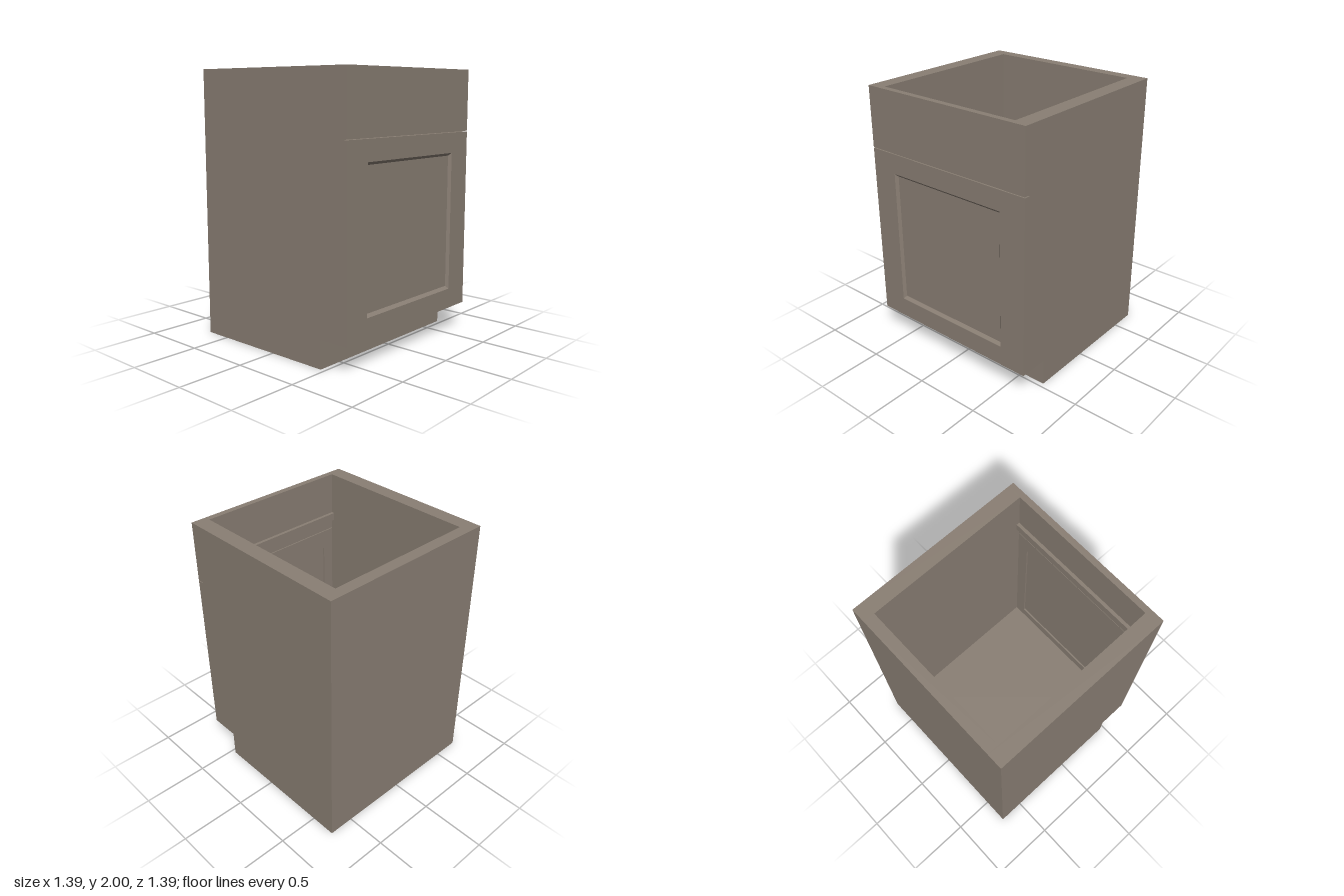
import * as THREE from 'three';

const W = 0.695;          // half width and half depth
const INNER = 0.58;       // half width of the cavity
const FRONT = 0.65;       // where the carcass ends and the fronts begin
const KICK_Y = 0.205, KICK_Z = 0.465;
const GAP = [1.54, 1.546]; // slit between door and drawer front

const material = new THREE.MeshStandardMaterial({ color: 0x8a7f74, flatShading: true, side: THREE.DoubleSide });

function add(group, name, geometry) {
  const mesh = new THREE.Mesh(geometry, material);
  mesh.name = name;
  group.add(mesh);
}

// Box given by its limits on each axis
function box(x0, x1, y0, y1, z0, z1) {
  return new THREE.BoxGeometry(x1 - x0, y1 - y0, z1 - z0)
    .translate((x0 + x1) / 2, (y0 + y1) / 2, (z0 + z1) / 2);
}

// Side profile (z, y) extruded along x
function profile(points, x0, x1) {
  const shape = new THREE.Shape(points.map(([z, y]) => new THREE.Vector2(z, y)));
  return new THREE.ExtrudeGeometry(shape, { depth: x1 - x0, bevelEnabled: false })
    .rotateY(-Math.PI / 2).translate(x1, 0, 0);
}

function rectangle(Type, x, y0, y1) {
  return new Type([[-x, y0], [x, y0], [x, y1], [-x, y1]].map(([a, b]) => new THREE.Vector2(a, b)));
}

// Sloped moulding between an outer and a deeper inner rectangle
function moulding(outer, inner) {
  const ring = ({ x, y0, y1, z }) => [[-x, y0, z], [x, y0, z], [x, y1, z], [-x, y1, z]];
  const a = ring(outer), b = ring(inner), position = [];
  for (let i = 0; i < 4; i++) {
    const j = (i + 1) % 4;
    position.push(...a[i], ...a[j], ...b[j], ...a[i], ...b[j], ...b[i]);
  }
  const geometry = new THREE.BufferGeometry();
  geometry.setAttribute('position', new THREE.Float32BufferAttribute(position, 3));
  geometry.computeVertexNormals();
  return geometry;
}

export function createModel() {
  const cabinet = new THREE.Group();
  cabinet.name = 'baseCabinet';

  // Carcass: notched side walls, back and floor with toe kick
  const notched = (top, back) => [[back, 0], [KICK_Z, 0], [KICK_Z, KICK_Y], [FRONT, KICK_Y], [FRONT, top], [back, top]];
  add(cabinet, 'leftSide', profile(notched(2, -W), INNER, W));
  add(cabinet, 'rightSide', profile(notched(2, -W), -W, -INNER));
  add(cabinet, 'back', box(-INNER, INNER, 0, 2, -W, -0.61));
  add(cabinet, 'floorAndToeKick', profile(notched(0.26, -0.61), -INNER, INNER));

  // Rail behind the drawer front
  add(cabinet, 'innerRail', box(-INNER, INNER, 1.62, 1.68, 0.625, FRONT));

  // Drawer front
  add(cabinet, 'drawerFront', box(-W, W, GAP[1], 2, FRONT, W));

  // Door: frame, recessed panel and bevelled moulding
  const door = new THREE.Group();
  door.name = 'door';
  cabinet.add(door);
  const outer = { x: 0.49, y0: 0.355, y1: 1.39, z: W };
  const inner = { x: 0.472, y0: 0.377, y1: 1.37, z: 0.675 };
  const frame = rectangle(THREE.Shape, W, KICK_Y, GAP[0]);
  frame.holes.push(rectangle(THREE.Path, outer.x, outer.y0, outer.y1));
  add(door, 'doorFrame', new THREE.ExtrudeGeometry(frame, { depth: W - FRONT, bevelEnabled: false }).translate(0, 0, FRONT));
  add(door, 'doorPanel', box(-outer.x, outer.x, outer.y0, outer.y1, 0.662, inner.z));
  add(door, 'doorMoulding', moulding(outer, inner));

  return cabinet;
}
